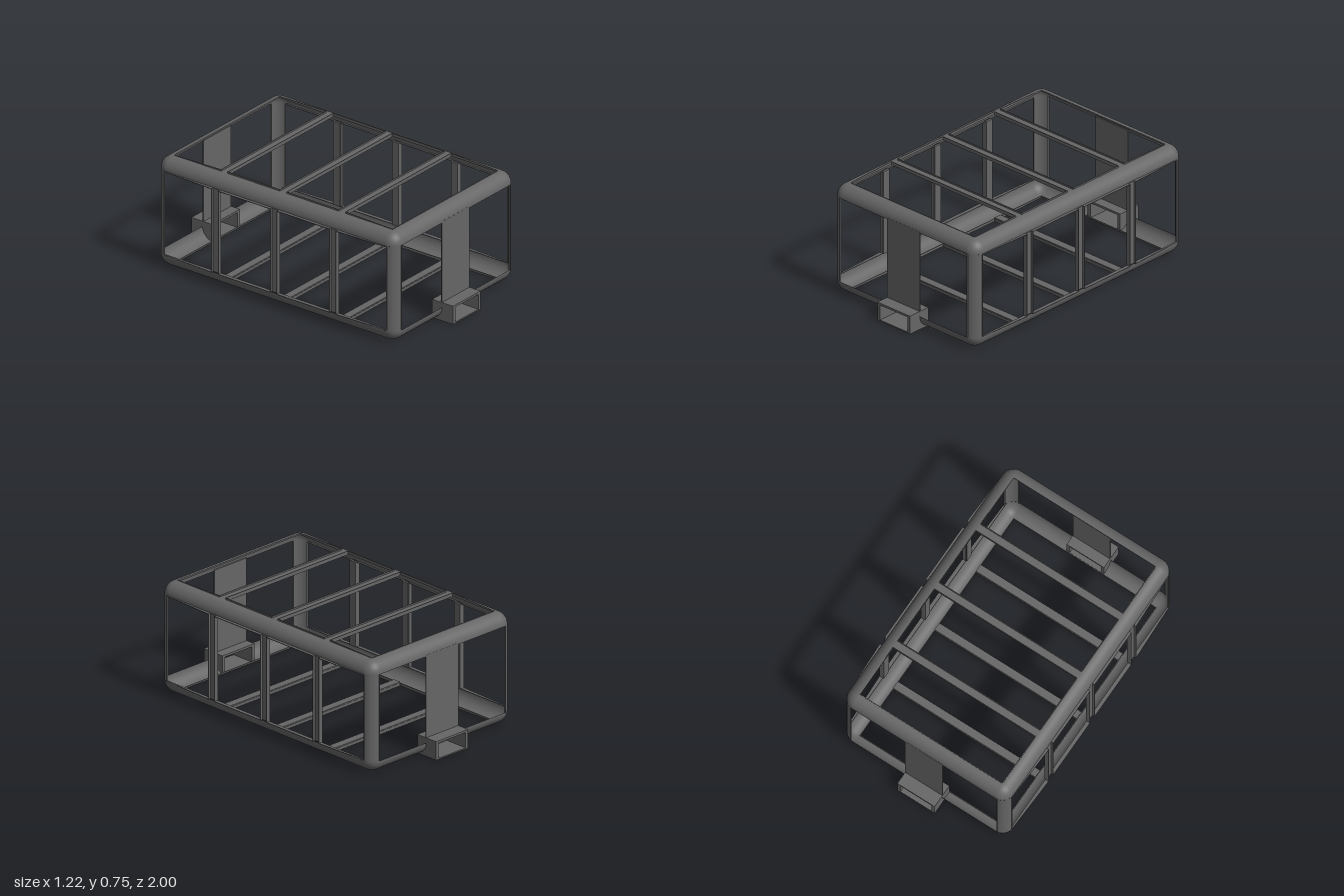
import * as THREE from 'three';

const R = 0.08;                            // edge radius
const HX = 0.595, HY = 0.3625, HZ = 0.915; // half size of the cage
const CX = HX - R, CY = HY - R, CZ = HZ - R;
const T = 0.004;                           // plate thickness
const Q = Math.PI / 2;

const steel = new THREE.MeshStandardMaterial({ color: 0x666666, side: THREE.DoubleSide });
steel.name = 'dark grey steel';

function add(parent, name, geometry, x = 0, y = 0, z = 0) {
  const mesh = new THREE.Mesh(geometry, steel);
  mesh.name = name;
  mesh.position.set(x, y, z);
  parent.add(mesh);
  return mesh;
}

const box = (w, h, d) => new THREE.BoxGeometry(w, h, d);
const arc = (len, trim = 0) =>
  new THREE.CylinderGeometry(R, R, len, 10, 1, true, trim, Q - 2 * trim);

// raised lip around one window: x runs along the face, y points outward, z across
function lip(parent, u0, u1, halfV, h0, h1) {
  const shape = new THREE.Shape([
    new THREE.Vector2(u0, -0.008), new THREE.Vector2(u1, -0.008),
    new THREE.Vector2(u1, h1), new THREE.Vector2(u0, h0)]);
  for (const s of [-1, 1]) {
    const g = new THREE.ExtrudeGeometry(shape, { depth: T, bevelEnabled: false });
    add(parent, 'windowLipLong', g, 0, 0, s * halfV - T / 2);
  }
  for (const [u, h] of [[u0, h0], [u1, h1]]) {
    add(parent, 'windowLipEnd', box(T, h + 0.008, halfV * 2), u, (h - 0.008) / 2, 0);
  }
}

// empty group lying on one face of the cage
function faceGroup(parent, name, along, out, distance) {
  const g = new THREE.Group();
  g.name = name;
  const across = new THREE.Vector3().crossVectors(along, out);
  g.quaternion.setFromRotationMatrix(new THREE.Matrix4().makeBasis(along, out, across));
  g.position.copy(out).multiplyScalar(distance);
  parent.add(g);
  return g;
}

export function createModel() {
  const model = new THREE.Group();
  model.name = 'cage';
  const frame = new THREE.Group();
  frame.name = 'frame';
  frame.position.y = 0.015 + HY;
  model.add(frame);

  // rounded corners and upright corner posts
  for (const sx of [-1, 1]) for (const sz of [-1, 1]) {
    add(frame, 'cornerPost', arc(2 * CY, 0.18), sx * CX, 0, sz * CZ).scale.set(sx, 1, sz);
    for (const sy of [-1, 1]) {
      const ball = new THREE.SphereGeometry(R, 10, 10, Q, Q, 0, Q);
      add(frame, 'roundCorner', ball, sx * CX, sy * CY, sz * CZ).scale.set(sx, sy, sz);
    }
  }

  // long rails
  for (const sx of [-1, 1]) for (const sy of [-1, 1]) {
    add(frame, 'longRail', arc(2 * CZ).rotateX(-Q), sx * CX, sy * CY, 0).scale.set(sx, sy, 1);
  }

  // end rails; the lower ones leave a gap for the socket
  const gap = 0.113;
  for (const sz of [-1, 1]) {
    add(frame, 'upperEndRail', arc(2 * CX).rotateZ(Q), 0, CY, sz * CZ).scale.set(1, 1, sz);
    for (const sx of [-1, 1]) {
      add(frame, 'lowerEndRail', arc(CX - gap).rotateZ(Q), sx * (CX + gap) / 2, -CY, sz * CZ)
        .scale.set(1, -1, sz);
    }
  }

  // four windows with three bars on the sides, top and bottom
  const X = new THREE.Vector3(1, 0, 0), Y = new THREE.Vector3(0, 1, 0), Z = new THREE.Vector3(0, 0, 1);
  const faces = [
    ['leftSide', X, HX, CY - 0.004, 0.016],
    ['rightSide', X.clone().negate(), HX, CY - 0.004, 0.016],
    ['topSide', Y, HY, CX, 0.01],
    ['bottomSide', Y.clone().negate(), HY, CX, 0.01],
  ];
  for (const [name, out, distance, halfV, h] of faces) {
    const g = faceGroup(frame, name, Z, out, distance);
    const end = name.includes('t') && out.x !== 0 ? 0.85 : CZ;
    for (const u of [-0.45, 0, 0.45]) {
      add(g, 'crossBar', box(0.052, 0.015, 2 * halfV), u, -0.0075, 0);
    }
    lip(g, -end, -0.476, halfV, 0.002, h);
    lip(g, -0.424, -0.026, halfV, h, h);
    lip(g, 0.026, 0.424, halfV, h, h);
    lip(g, 0.476, end, halfV, h, 0.002);
  }

  // ends: one wide window, a centre panel and a hollow socket at the foot
  for (const s of [-1, 1]) {
    const g = faceGroup(frame, s > 0 ? 'frontEnd' : 'backEnd', X, Z.clone().multiplyScalar(s), HZ);
    for (const sx of [-1, 1]) {
      add(g, 'endLip', box(T, 0.012, 2 * CY), sx * 0.53, -0.003, 0);
    }
    add(model, 'centrePanel', box(0.27, 0.555, 0.008), 0, 0.3925, s * 0.911);

    const socket = new THREE.Group();
    socket.name = 'socket';
    socket.position.z = s * 0.92;
    model.add(socket);
    add(socket, 'socketTop', box(0.27, 0.014, 0.16), 0, 0.122, 0);
    add(socket, 'socketFloor', box(0.27, 0.008, 0.16), 0, 0.011, 0);
    for (const sx of [-1, 1]) {
      add(socket, 'socketWall', box(0.022, 0.114, 0.16), sx * 0.124, 0.072, 0);
    }
  }
  return model;
}
